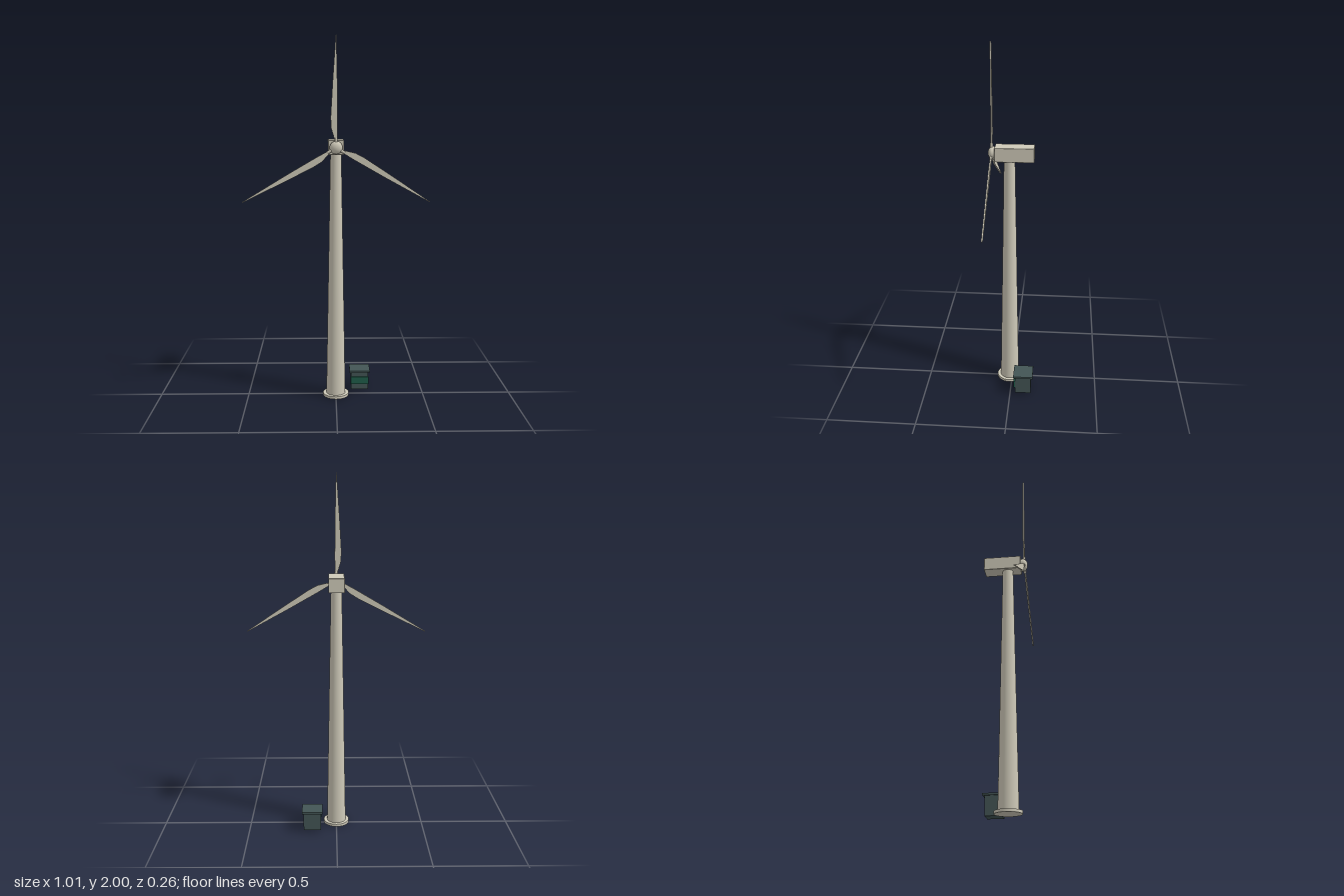
import * as THREE from 'three';
import { RoundedBoxGeometry } from 'three/addons/geometries/RoundedBoxGeometry.js';

const material = (name, color) => Object.assign(new THREE.MeshStandardMaterial({ color }), { name });

export function createModel() {
  const cream = material('warm white paint', 0xcfcab9);
  const slate = material('dark slate', 0x435555);
  const green = material('dark green', 0x1f5c4a);
  const model = new THREE.Group();
  model.name = 'windTurbine';

  const add = (name, geometry, mat, x, y, z, parent = model) => {
    const mesh = new THREE.Mesh(geometry, mat);
    mesh.name = name;
    mesh.position.set(x, y, z);
    parent.add(mesh);
    return mesh;
  };

  // Tower on a round foundation
  const towerZ = 0.015;
  add('foundation', new THREE.CylinderGeometry(0.073, 0.073, 0.015, 40), cream, 0, 0.0075, towerZ);
  add('tower', new THREE.CylinderGeometry(0.03, 0.054, 1.37, 40), cream, 0, 0.7, towerZ);

  // Nacelle with slightly softened edges
  const axisY = 1.417;
  add('nacelle', new RoundedBoxGeometry(0.087, 0.078, 0.212, 2, 0.004), cream, 0, axisY, -0.013);

  // Rotor: hub with domed nose and three blades
  const rotor = new THREE.Group();
  rotor.name = 'rotor';
  rotor.position.set(0, axisY, 0.11);
  model.add(rotor);

  const nose = [new THREE.Vector2(0.035, -0.02)];
  for (let i = 0; i <= 10; i++) {
    const a = (i / 10) * Math.PI / 2;
    nose.push(new THREE.Vector2(0.035 * Math.cos(a), -0.004 + 0.024 * Math.sin(a)));
  }
  add('hub', new THREE.LatheGeometry(nose, 32), cream, 0, 0, 0, rotor).rotation.x = Math.PI / 2;

  const outline = new THREE.Shape();
  outline.moveTo(0.006, 0.02);
  outline.lineTo(0.008, 0.12);
  outline.lineTo(0.007, 0.3);
  outline.lineTo(0.001, 0.583);
  outline.lineTo(-0.002, 0.583);
  outline.lineTo(-0.018, 0.35);
  outline.lineTo(-0.029, 0.16);
  outline.lineTo(-0.027, 0.105);
  outline.lineTo(-0.009, 0.045);
  outline.lineTo(-0.008, 0.02);
  const bladeGeometry = new THREE.ExtrudeGeometry(outline, { depth: 0.008, bevelEnabled: false });
  bladeGeometry.translate(0, 0, -0.004);
  const rootGeometry = new THREE.CylinderGeometry(0.008, 0.009, 0.035, 16);
  rootGeometry.translate(0, 0.035, 0);
  for (let i = 0; i < 3; i++) {
    const angle = (i * 2 * Math.PI) / 3;
    add('blade', bladeGeometry, cream, 0, 0, 0, rotor).rotation.z = angle;
    add('bladeRoot', rootGeometry, cream, 0, 0, 0, rotor).rotation.z = angle;
  }

  // Service cabinet beside the tower
  const cabinet = new THREE.Group();
  cabinet.name = 'serviceCabinet';
  cabinet.position.set(0.139, 0, -0.075);
  model.add(cabinet);
  add('cabinetBody', new THREE.BoxGeometry(0.098, 0.106, 0.09), slate, 0, 0.064, 0, cabinet);
  add('cabinetRoof', new THREE.BoxGeometry(0.117, 0.011, 0.112), slate, 0, 0.1205, 0, cabinet);
  add('cabinetPanel', new THREE.BoxGeometry(0.104, 0.042, 0.01), green, 0, 0.068, 0.049, cabinet);

  return model;
}
